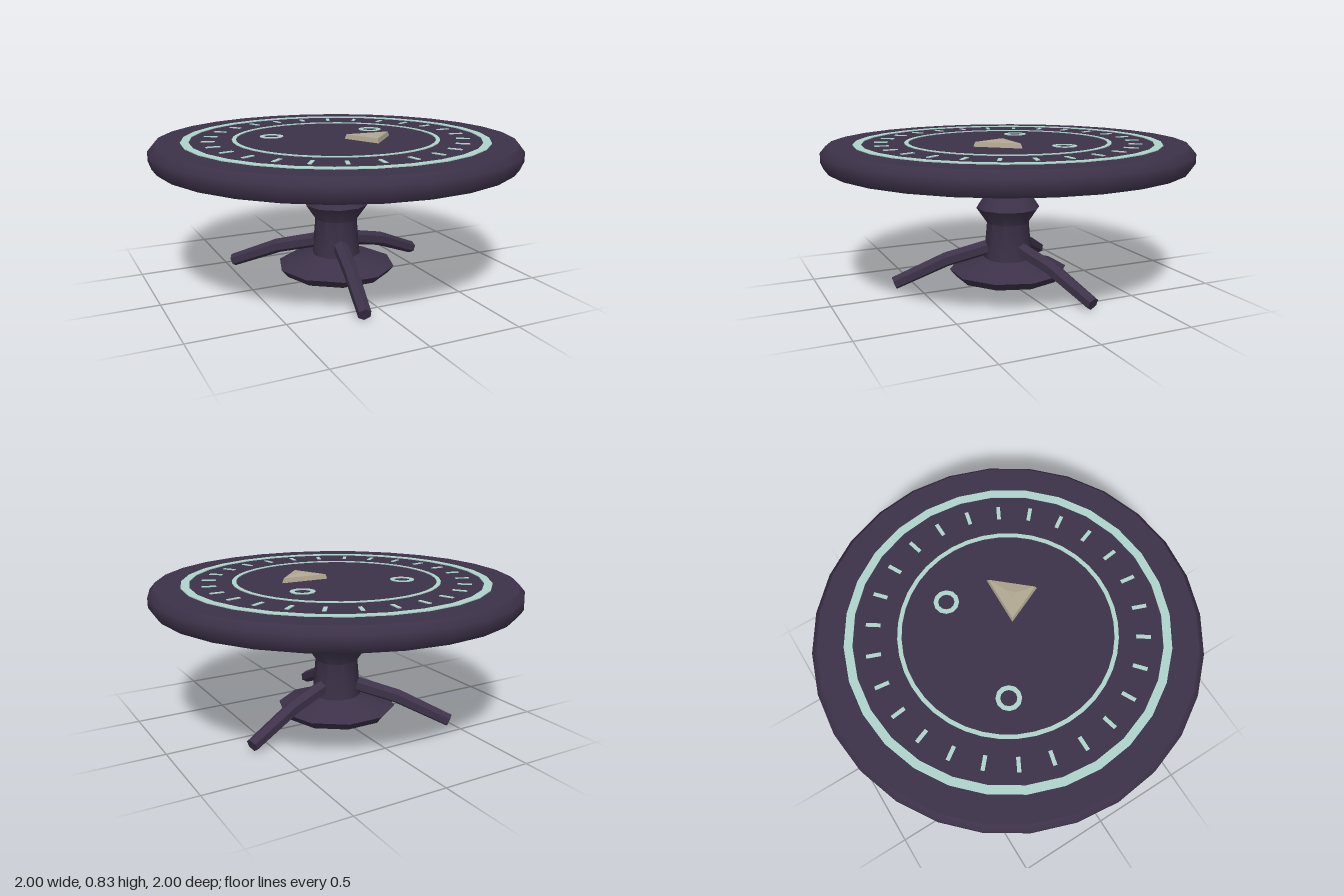
import * as THREE from 'three';
import { toCreasedNormals } from 'three/addons/utils/BufferGeometryUtils.js';

const material = (name, color, extra = {}) => {
  const m = new THREE.MeshStandardMaterial({ color, ...extra });
  m.name = name;
  return m;
};

// Turned part with sharp profile corners; a corner lies on the x axis
function turned(points, sides, crease = 0.68) {
  const profile = points.map(([r, y]) => new THREE.Vector2(r, y));
  const g = new THREE.LatheGeometry(profile, sides);
  g.rotateY(Math.PI / 2);
  return toCreasedNormals(g, crease);
}

// Faceted solid through cross-sections that run counter-clockwise about the axis
function loft(rings) {
  const pos = [];
  const n = rings[0].length;
  const tri = (...v) => v.forEach((p) => pos.push(p.x, p.y, p.z));
  const middle = (ring) =>
    ring.reduce((s, p) => s.add(p), new THREE.Vector3()).divideScalar(n);
  const first = rings[0];
  const last = rings[rings.length - 1];
  const c0 = middle(first);
  const c1 = middle(last);
  for (let j = 0; j < n; j++) {
    const k = (j + 1) % n;
    for (let i = 0; i < rings.length - 1; i++) {
      const a = rings[i];
      const b = rings[i + 1];
      tri(a[j], a[k], b[k]);
      tri(a[j], b[k], b[j]);
    }
    tri(c0, first[k], first[j]);
    tri(c1, last[j], last[k]);
  }
  const g = new THREE.BufferGeometry();
  g.setAttribute('position', new THREE.Float32BufferAttribute(pos, 3));
  g.computeVertexNormals();
  return g;
}

// Bent six-sided leg reaching out along +x
function legGeometry() {
  const path = [
    [0.12, 0.21, 0.042, -0.25],
    [0.35, 0.153, 0.041, -0.31],
    [0.64, 0.034, 0.036, -0.38],
  ];
  return loft(path.map(([x, y, r, tilt]) => {
    const ring = [];
    for (let j = 0; j < 6; j++) {
      const t = (j * Math.PI) / 3;
      const up = Math.cos(t) * r;
      ring.push(new THREE.Vector3(
        x - Math.sin(tilt) * up, y + Math.cos(tilt) * up, Math.sin(t) * r));
    }
    return ring;
  }));
}

// Three-cornered pointer with chamfered sides and a slightly raised middle
function pointerGeometry() {
  const corners = [[0.125, 0.255], [0.3, 0.055], [0.03, 0.045]];
  const cx = 0.152;
  const cz = 0.118;
  const levels = [[0.798, 1], [0.825, 0.92], [0.833, 0.2]];
  return loft(levels.map(([y, s]) => corners.map(([x, z]) =>
    new THREE.Vector3(cx + (x - cx) * s, y, cz + (z - cz) * s))));
}

export function createModel() {
  const model = new THREE.Group();
  model.name = 'pedestalTable';

  const wood = material('dark purple wood', 0x3d3249);
  const woodOpen = material('dark purple wood', 0x3d3249, { side: THREE.DoubleSide });
  const inlay = material('pale teal inlay', 0xaed4cb);
  const bone = material('bone', 0xb0a791);

  const add = (name, geometry, mat, parent = model) => {
    const mesh = new THREE.Mesh(geometry, mat);
    mesh.name = name;
    parent.add(mesh);
    return mesh;
  };

  // Round top with a bevelled rim
  add('tableTop', turned([
    [0, 0.68], [0.975, 0.68], [1, 0.715], [1, 0.765], [0.97, 0.8], [0, 0.8],
  ], 28, 0.8), wood);

  // Turned column
  add('column', turned([
    [0, 0.07], [0.135, 0.07], [0.135, 0.15], [0.118, 0.35],
    [0.177, 0.435], [0.117, 0.525], [0.215, 0.682],
  ], 10), wood);

  // Hollow foot below the column
  add('foot', turned([[0.295, 0.043], [0.33, 0.085], [0.13, 0.15]], 10), woodOpen);

  // Three splayed legs
  const leg = legGeometry();
  for (let i = 0; i < 3; i++) {
    const angle = THREE.MathUtils.degToRad(102.5 - i * 120);
    add('leg', leg, wood).rotation.y = -angle;
  }

  // Inlaid rings on the top
  const ring = (name, inner, outer, sides, x = 0, z = 0) => {
    const h = 0.004;
    const g = turned([
      [inner, 0], [outer, 0], [outer, h], [inner, h], [inner, 0],
    ], sides);
    add(name, g, inlay).position.set(x, 0.8, z);
  };
  ring('outerRing', 0.788, 0.832, 28);
  ring('innerRing', 0.54, 0.562, 40);
  for (const side of [-1, 1]) ring('smallRing', 0.042, 0.066, 12, side * 0.304, -0.185);

  // Radial tick marks
  const ticks = new THREE.Group();
  ticks.name = 'tickMarks';
  model.add(ticks);
  const tick = new THREE.BoxGeometry(0.075, 0.006, 0.02);
  for (let i = 0; i < 26; i++) {
    const a = (i / 26) * Math.PI * 2;
    const mesh = add('tickMark', tick, inlay, ticks);
    mesh.position.set(0.687 * Math.cos(a), 0.801, 0.687 * Math.sin(a));
    mesh.rotation.y = -a;
  }

  // Loose pointer lying on the top
  add('pointer', pointerGeometry(), bone);

  return model;
}
